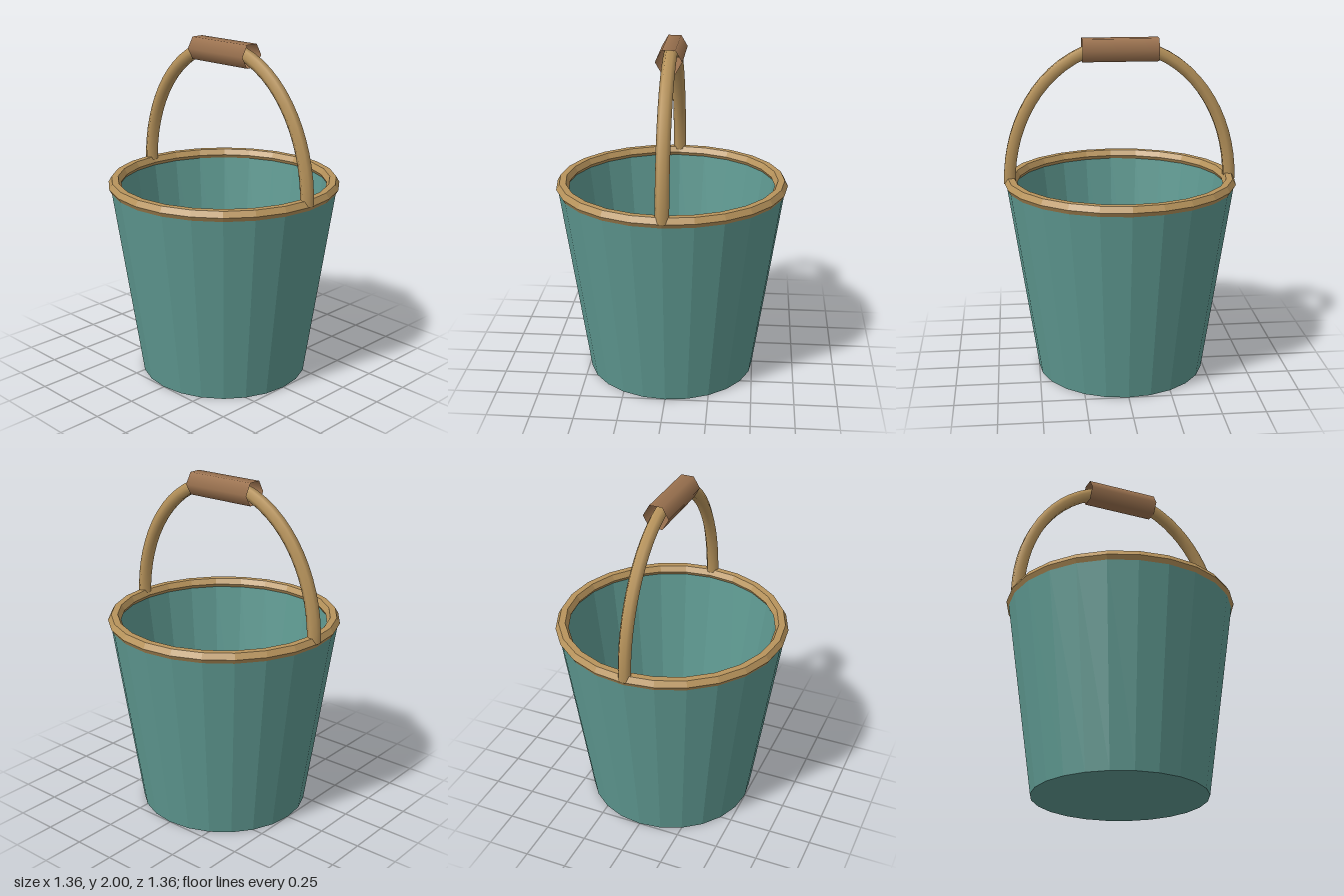
import * as THREE from 'three';

const SIDES = 24;
const RIM_Y = 1.165;

const paint = (color, flatShading = false, side = THREE.FrontSide) =>
  new THREE.MeshStandardMaterial({ color, flatShading, side });

function part(name, geometry, material) {
  const mesh = new THREE.Mesh(geometry, material);
  mesh.name = name;
  return mesh;
}

// Half-ellipse that the handle follows, from one side of the rim to the other
class HandleArc extends THREE.Curve {
  getPoint(t, target = new THREE.Vector3()) {
    const a = Math.PI * t;
    return target.set(0.648 * Math.cos(a), RIM_Y + 0.797 * Math.sin(a), 0);
  }
}

export function createModel() {
  const bucket = new THREE.Group();
  bucket.name = 'bucket';

  // Tapered faceted wall with thickness, plus base and inside floor
  const profile = [
    [0, 0], [0.5, 0], [0.67, RIM_Y], [0.62, RIM_Y], [0.46, 0.05], [0, 0.05],
  ].map(([x, y]) => new THREE.Vector2(x, y));
  bucket.add(part('pail', new THREE.LatheGeometry(profile, SIDES), paint(0x5f9a92, true)));

  // Six-sided ring round the top edge
  const rim = new THREE.TorusGeometry(0.643, 0.038, 6, SIDES);
  rim.rotateX(Math.PI / 2).translate(0, RIM_Y, 0);
  bucket.add(part('rim', rim, paint(0xb8945c, true)));

  // Arched handle
  const handle = new THREE.TubeGeometry(new HandleArc(), 32, 0.039, 6);
  bucket.add(part('handle', handle, paint(0xb8945c, false, THREE.DoubleSide)));

  // Open hexagonal sleeve at the top of the handle
  const grip = new THREE.CylinderGeometry(0.075, 0.075, 0.44, 6, 1, true);
  grip.rotateZ(Math.PI / 2).translate(0, 1.935, 0);
  bucket.add(part('grip', grip, paint(0x9c7350, false, THREE.DoubleSide)));

  return bucket;
}
